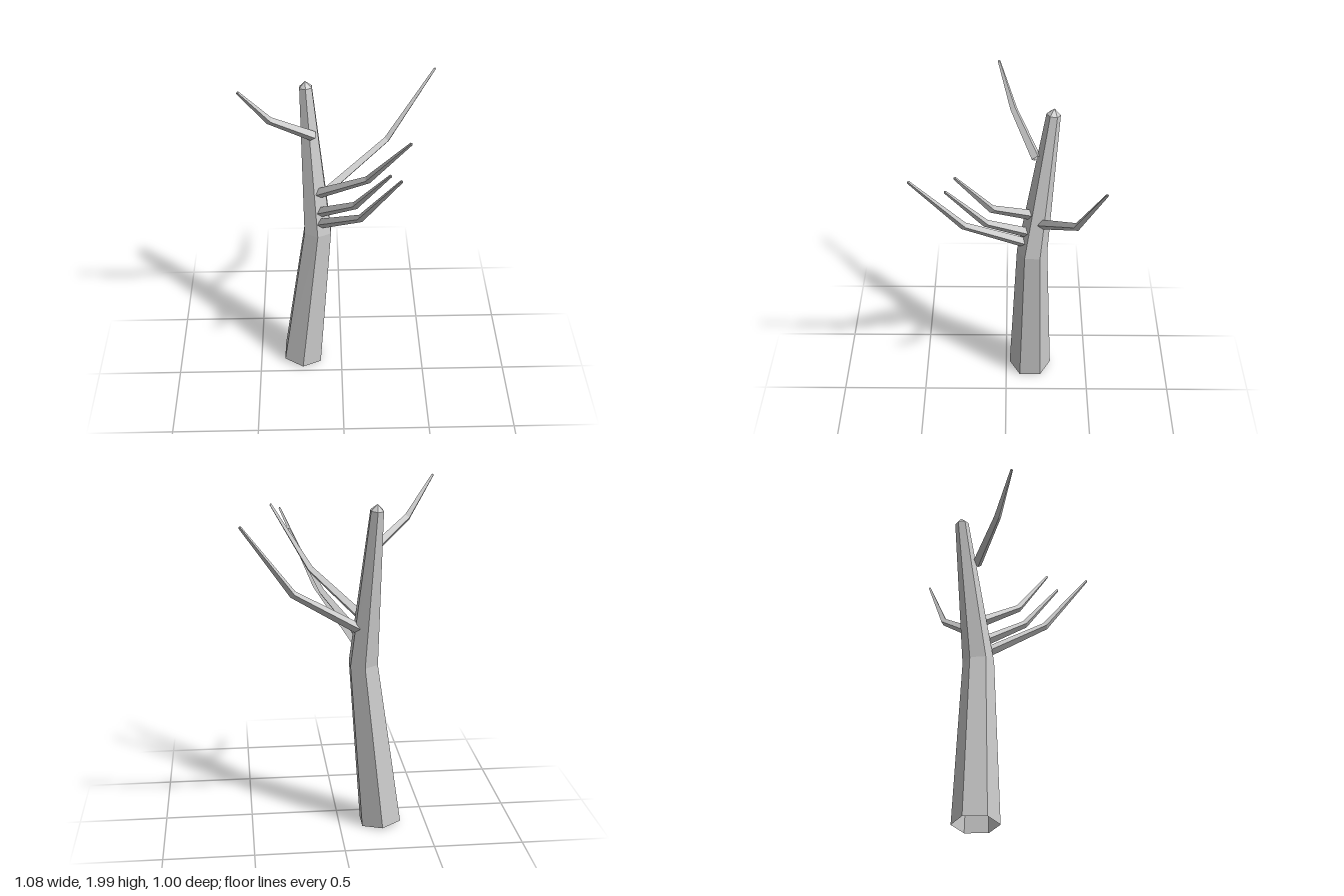
import * as THREE from 'three';

const bark = new THREE.MeshStandardMaterial({ color: 0xcccccc, flatShading: true, side: THREE.DoubleSide });
bark.name = 'greyBark';

// Tapered faceted limb along a bent path: open at its root, pointed at its tip.
// "ref" is the direction in which the first corner of each ring points.
function limb(name, path, radii, sides, ref, tipLength) {
  const pts = path.map((p) => new THREE.Vector3(...p));
  const dirs = pts.slice(1).map((p, i) => p.clone().sub(pts[i]).normalize());
  const rings = pts.map((p, i) => {
    const t = dirs[Math.max(i - 1, 0)].clone().add(dirs[Math.min(i, dirs.length - 1)]).normalize();
    const u = ref.clone().addScaledVector(t, -ref.dot(t)).normalize();
    const v = t.clone().cross(u);
    return Array.from({ length: sides }, (_, k) => {
      const a = (k / sides) * Math.PI * 2;
      return p.clone().addScaledVector(u, Math.cos(a) * radii[i]).addScaledVector(v, Math.sin(a) * radii[i]);
    });
  });
  const tip = pts.at(-1).clone().addScaledVector(dirs.at(-1), tipLength);

  const corners = [];
  for (let k = 0; k < sides; k++) {
    const n = (k + 1) % sides;
    for (let i = 0; i < rings.length - 1; i++) {
      const [lo, hi] = [rings[i], rings[i + 1]];
      corners.push(lo[k], lo[n], hi[n], lo[k], hi[n], hi[k]);
    }
    corners.push(rings.at(-1)[k], rings.at(-1)[n], tip);
  }
  const geometry = new THREE.BufferGeometry().setFromPoints(corners);
  geometry.computeVertexNormals();
  const mesh = new THREE.Mesh(geometry, bark);
  mesh.name = name;
  return mesh;
}

export function createModel() {
  const tree = new THREE.Group();
  tree.name = 'bareTree';

  // Six-sided trunk with one bend
  tree.add(limb('trunk',
    [[-0.24, 0.016, -0.15], [-0.136, 0.98, -0.15], [-0.19, 1.855, -0.253]],
    [0.128, 0.088, 0.039], 6, new THREE.Vector3(0, 0, 1), 0.035));

  // Four-sided branches: root, elbow, end
  const branches = {
    upperRightBranch: [[-0.155, 1.6, -0.165], [-0.385, 1.775, -0.04], [-0.535, 1.99, 0.042]],
    backLeftBranch: [[-0.1, 1.195, -0.2], [0.265, 1.445, -0.375], [0.533, 1.83, -0.495]],
    lowFrontBranch: [[-0.115, 1.06, -0.095], [0.095, 1.325, 0.23], [0.284, 1.735, 0.495]],
    middleFrontBranch: [[-0.12, 1.125, -0.115], [0.07, 1.325, 0.11], [0.243, 1.648, 0.313]],
    highFrontBranch: [[-0.125, 1.245, -0.13], [0.138, 1.468, 0.075], [0.347, 1.802, 0.254]],
  };
  for (const [name, path] of Object.entries(branches)) {
    tree.add(limb(name, path, [0.029, 0.021, 0.008], 4, new THREE.Vector3(0, 1, 0), 0.006));
  }
  return tree;
}
